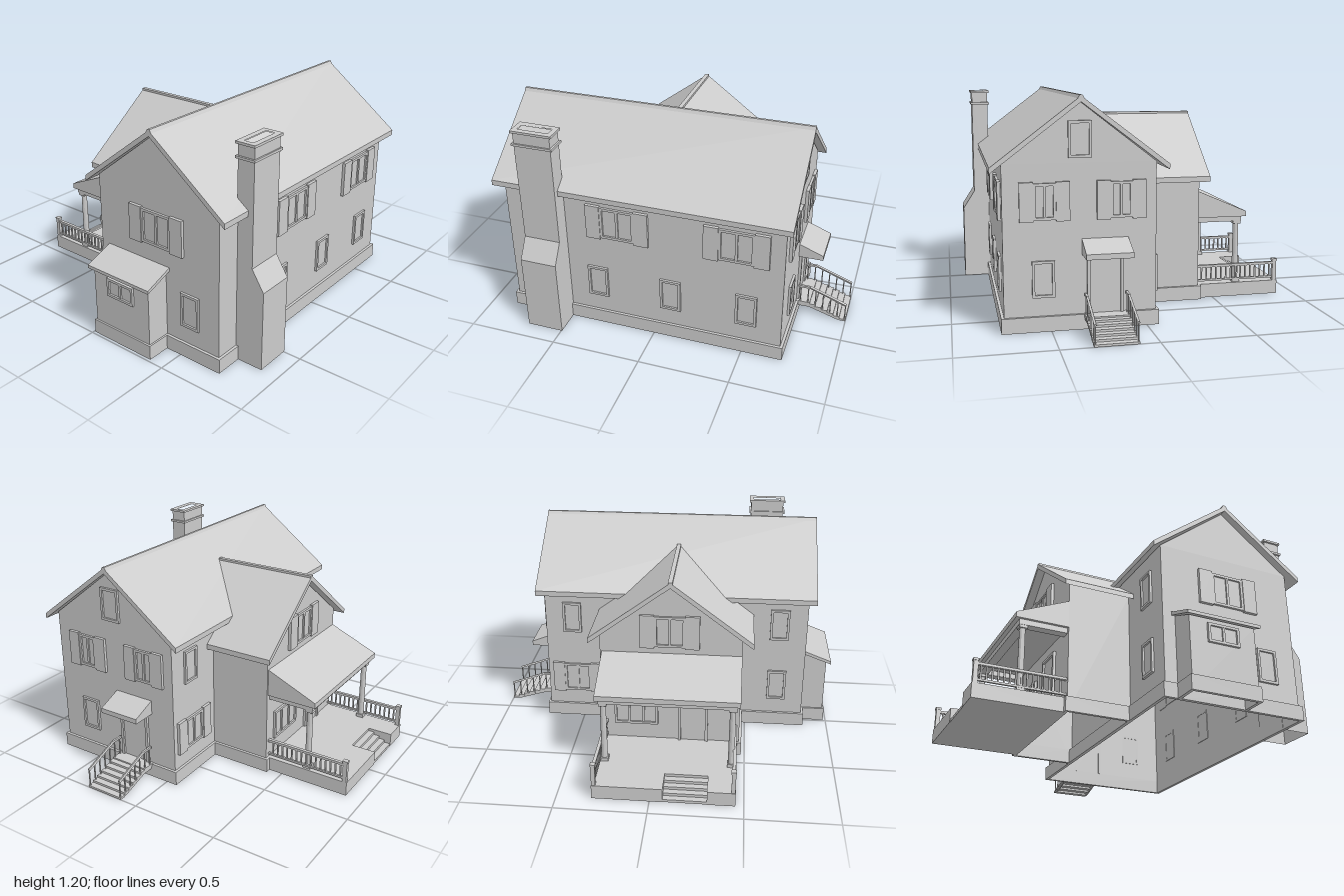
import * as THREE from 'three';

const mat = new THREE.MeshStandardMaterial({ color: 0xcccccc, flatShading: true });
const shellMat = new THREE.MeshStandardMaterial({ color: 0xcccccc, flatShading: true, side: THREE.DoubleSide });

const poly = (pts) => new THREE.Shape(pts.map(([x, y]) => new THREE.Vector2(x, y)));
const rect = (x0, x1, y0, y1) => [[x0, y0], [x1, y0], [x1, y1], [x0, y1]];

function add(parent, name, geo, material = mat) {
  const m = new THREE.Mesh(geo, material);
  m.name = name;
  parent.add(m);
  return m;
}
// box given by its limits
function box(parent, name, x0, x1, y0, y1, z0, z1) {
  const m = add(parent, name, new THREE.BoxGeometry(x1 - x0, y1 - y0, z1 - z0));
  m.position.set((x0 + x1) / 2, (y0 + y1) / 2, (z0 + z1) / 2);
  return m;
}
// square bar between two points
function bar(parent, name, a, b, t) {
  const A = new THREE.Vector3(...a), B = new THREE.Vector3(...b);
  const m = add(parent, name, new THREE.BoxGeometry(t, t, A.distanceTo(B)));
  m.position.copy(A).add(B).multiplyScalar(0.5);
  m.quaternion.setFromUnitVectors(new THREE.Vector3(0, 0, 1), B.sub(A).normalize());
  return m;
}
// profile in (x, y) running from z0 to z1
function prismZ(pts, z0, z1, holes = []) {
  const s = poly(pts);
  holes.forEach((h) => s.holes.push(poly(h)));
  return new THREE.ExtrudeGeometry(s, { depth: z1 - z0, bevelEnabled: false }).translate(0, 0, z0);
}
// profile in (z, y) running from x0 to x1
const prismX = (pts, x0, x1) => prismZ(pts.map(([z, y]) => [-z, y]), x0, x1).rotateY(Math.PI / 2);
// plan in (x, z) running from y0 to y1
const prismY = (pts, y0, y1, holes = []) =>
  prismZ(pts.map(([x, z]) => [x, -z]), y0, y1, holes.map((h) => h.map(([x, z]) => [x, -z]))).rotateX(-Math.PI / 2);

// removes the downward faces, leaving a hollow shell
function openBottom(geo) {
  const p = geo.attributes.position, keep = [];
  const [a, b, c] = [0, 1, 2].map(() => new THREE.Vector3());
  for (let i = 0; i < p.count; i += 3) {
    a.fromBufferAttribute(p, i); b.fromBufferAttribute(p, i + 1); c.fromBufferAttribute(p, i + 2);
    if (Math.max(a.y, b.y, c.y) > 0.001) keep.push(...a, ...b, ...c);
  }
  const g = new THREE.BufferGeometry();
  g.setAttribute('position', new THREE.Float32BufferAttribute(keep, 3));
  g.computeVertexNormals();
  return g;
}
const gable = (c, half, eave, peak) => [[c - half, 0], [c + half, 0], [c + half, eave], [c, peak], [c - half, eave]];
const chevron = (c, half, eave, peak, t) =>
  [[c - half, eave], [c - half, eave - t], [c, peak - t], [c + half, eave - t], [c + half, eave], [c, peak]];

// hollow plinth around a rectangular plan
function plinth(parent, name, x0, x1, z0, z1) {
  const t = 0.018;
  add(parent, name, prismY(rect(x0, x1, z0, z1), 0, 0.08, [rect(x0 + t, x1 - t, z0 + t, z1 - t)]), shellMat);
}

// framed window facing +z, centred on its own origin, with optional shutters
function makeWindow(w, h, { shutter = 0, panes = 1 } = {}) {
  const g = new THREE.Group();
  g.name = shutter ? 'shutteredWindow' : 'window';
  const hw = w / 2 - shutter, hh = h / 2 - (shutter ? 0.007 : 0), t = 0.014;
  add(g, 'windowFrame', prismZ(rect(-hw, hw, -hh, hh), -0.004, 0.013, [rect(-hw + t, hw - t, -hh + t, hh - t)]));
  box(g, 'glass', -hw + t, hw - t, -hh + t, hh - t, -0.002, 0.003);
  for (let i = 1; i < panes; i++) {
    const x = -hw + (2 * hw * i) / panes;
    box(g, 'mullion', x - t / 2, x + t / 2, -hh + t, hh - t, 0, 0.011);
  }
  if (shutter) for (const s of [-1, 1]) {
    const c = s * (w / 2 - shutter / 2);
    box(g, 'shutter', c - shutter / 2, c + shutter / 2, -h / 2, h / 2, -0.004, 0.017);
  }
  return g;
}

// door with surround, facing +z, standing on its own origin
function makeDoor(w, h) {
  const g = new THREE.Group(), t = 0.016;
  g.name = 'door';
  add(g, 'doorFrame', prismZ([[-w / 2, 0], [-w / 2 + t, 0], [-w / 2 + t, h - t], [w / 2 - t, h - t],
    [w / 2 - t, 0], [w / 2, 0], [w / 2, h], [-w / 2, h]], -0.004, 0.015));
  box(g, 'doorLeaf', -w / 2 + t, w / 2 - t, 0, h - t, -0.002, 0.004);
  return g;
}

export function createModel() {
  const house = new THREE.Group();
  house.name = 'house';
  const put = (o, x, y, z, turn = 0) => { o.position.set(x, y, z); o.rotation.y = turn; house.add(o); };
  const R = Math.PI / 2;

  // main block
  add(house, 'mainWalls', openBottom(prismX(gable(0.345, 0.395, 0.86, 1.165), -0.84, 0.71)), shellMat);
  plinth(house, 'mainFoundation', -0.855, 0.725, -0.065, 0.755);
  add(house, 'mainRoof', prismX(chevron(0.345, 0.455, 0.85, 1.195, 0.03), -0.88, 0.75));
  add(house, 'mainRidgeCap', prismX([[0.328, 1.183], [0.362, 1.183], [0.352, 1.2], [0.338, 1.2]], -0.88, 0.75));

  // rear wing; its roof runs into the main roof along a valley
  add(house, 'wingWalls', openBottom(prismZ(gable(-0.07, 0.395, 0.735, 1.03), -0.405, -0.05)), shellMat);
  plinth(house, 'wingFoundation', -0.48, 0.34, -0.42, -0.05);
  const wingRoof = prismZ(chevron(-0.07, 0.455, 0.725, 1.065, 0.03), -0.45, 0.165);
  const p = wingRoof.attributes.position;
  for (let i = 0; i < p.count; i++) if (p.getZ(i) > 0 && p.getY(i) < 0.9) p.setZ(i, -0.05);
  add(house, 'wingRoof', wingRoof);
  box(house, 'wingRidgeCap', -0.082, -0.058, 1.045, 1.068, -0.45, 0.165);

  // side bay
  add(house, 'bayWalls', openBottom(prismZ([[-0.975, 0], [-0.84, 0], [-0.84, 0.455], [-0.975, 0.4]], 0.02, 0.4)), shellMat);
  plinth(house, 'bayFoundation', -0.985, -0.84, 0.01, 0.41);
  add(house, 'bayRoof', prismZ([[-1, 0.395], [-0.84, 0.455], [-0.84, 0.475], [-1, 0.413]], 0, 0.423));

  // chimney
  add(house, 'chimneyBase', openBottom(prismX([[0.735, 0], [0.9, 0], [0.9, 0.44], [0.83, 0.55], [0.735, 0.55]], -0.7, -0.495)), shellMat);
  const flue = [rect(-0.683, -0.512, 0.757, 0.808)];
  add(house, 'chimneyStack', prismY(rect(-0.7, -0.495, 0.735, 0.83), 0.55, 1.18, flue));
  for (const y of [1.1, 1.172]) add(house, 'chimneyBand', prismY(rect(-0.711, -0.484, 0.726, 0.838), y, y + 0.013, flue));

  // windows: [width, height, x, y, z, turn, options]
  const wide = { shutter: 0.08, panes: 2 }, narrow = { shutter: 0.07, panes: 2 };
  const windows = [
    ...[-0.322, 0.097, 0.517].map((x) => [0.116, 0.188, x, 0.277, 0.74, 0]),
    ...[-0.195, 0.457].map((x) => [0.35, 0.2, x, 0.666, 0.74, 0, wide]),
    ...[0.528, 0.135].map((z) => [0.255, 0.2, 0.71, 0.67, z, R, narrow]),
    [0.116, 0.19, 0.71, 0.273, 0.538, R],
    [0.12, 0.185, 0.71, 0.98, 0.347, R],
    [0.35, 0.2, -0.84, 0.666, 0.345, -R, wide],
    [0.116, 0.19, -0.84, 0.273, 0.56, -R],
    [0.18, 0.105, -0.975, 0.322, 0.21, -R, { panes: 2 }],
    [0.11, 0.19, -0.68, 0.666, -0.05, 2 * R],
    [0.11, 0.19, -0.68, 0.27, -0.05, 2 * R],
    [0.11, 0.19, 0.55, 0.666, -0.05, 2 * R],
    [0.3, 0.195, 0.53, 0.265, -0.05, 2 * R, narrow],
    [0.33, 0.195, -0.065, 0.763, -0.405, 2 * R, wide],
    [0.25, 0.17, 0.125, 0.26, -0.405, 2 * R, { panes: 3 }],
  ];
  for (const [w, h, x, y, z, turn, opt] of windows) put(makeWindow(w, h, opt), x, y, z, turn);

  // doors
  put(makeDoor(0.19, 0.31), 0.71, 0.08, 0.22, R);
  put(makeDoor(0.17, 0.33), -0.2, 0.08, -0.405, 2 * R);

  // porch deck with steps cut into its edge
  add(house, 'porchDeck', prismY([[-0.455, -0.41], [-0.455, -0.9], [-0.305, -0.9], [-0.305, -0.757],
    [-0.07, -0.757], [-0.07, -0.9], [0.31, -0.9], [0.31, -0.41]], 0.0, 0.08));
  for (let i = 0; i < 4; i++)
    box(house, 'porchStep', -0.305, -0.07, 0, 0.064 - 0.016 * i, -0.793 - 0.035 * i, -0.757 - 0.035 * i);

  // porch roof, beams and columns
  add(house, 'porchRoof', prismX([[-0.4, 0.632], [-0.695, 0.505], [-0.695, 0.475], [-0.4, 0.475]], -0.465, 0.315));
  box(house, 'porchBeam', -0.45, 0.3, 0.445, 0.477, -0.672, -0.622);
  for (const [x0, x1] of [[-0.45, -0.4], [0.25, 0.3]]) {
    box(house, 'porchSideBeam', x0, x1, 0.445, 0.477, -0.63, -0.4);
    const x = (x0 + x1) / 2;
    add(house, 'porchColumn', new THREE.CylinderGeometry(0.016, 0.018, 0.37, 12)).position.set(x, 0.262, -0.647);
    box(house, 'columnBase', x - 0.022, x + 0.022, 0.08, 0.1, -0.669, -0.625);
    box(house, 'columnCapital', x - 0.022, x + 0.022, 0.43, 0.447, -0.669, -0.625);
  }

  // porch railings
  for (const x of [-0.443, 0.298]) {
    box(house, 'porchTopRail', x - 0.009, x + 0.009, 0.178, 0.192, -0.885, -0.405);
    box(house, 'porchBottomRail', x - 0.006, x + 0.006, 0.095, 0.106, -0.885, -0.405);
    for (let i = 0; i < 15; i++) bar(house, 'baluster', [x, 0.1, -0.435 - 0.03 * i], [x, 0.18, -0.435 - 0.03 * i], 0.008);
    box(house, 'newelPost', x - 0.011, x + 0.011, 0.08, 0.2, -0.896, -0.872);
    box(house, 'newelCap', x - 0.014, x + 0.014, 0.198, 0.21, -0.899, -0.869);
  }

  // side entrance: hood, landing, stairs
  add(house, 'doorHood', prismZ([[0.705, 0.392], [0.845, 0.392], [0.845, 0.42], [0.705, 0.475]], 0.098, 0.34));
  box(house, 'landing', 0.71, 0.79, 0.065, 0.082, 0.103, 0.332);
  const treads = 6, run = 0.037;
  for (let i = 0; i < treads; i++) {
    const x = 0.785 + i * (0.215 - run) / (treads - 1), y = 0.074 - i * 0.0125;
    box(house, 'stairTread', x, x + run, y - 0.012, y, 0.103, 0.332);
  }
  // stair stringers and handrails
  for (const z of [0.11, 0.325]) {
    add(house, 'stringer', prismZ([[0.72, 0.05], [0.79, 0.05], [0.95, 0], [1, 0], [0.785, 0.068], [0.72, 0.068]], z - 0.004, z + 0.004));
    bar(house, 'landingRail', [0.72, 0.185, z], [0.79, 0.185, z], 0.012);
    bar(house, 'stairRail', [0.788, 0.185, z], [0.996, 0.108, z], 0.012);
    for (let i = 0; i < 7; i++) {
      const x = 0.735 + i * 0.043, k = Math.max(0, x - 0.788);
      bar(house, 'stairBaluster', [x, 0.072 - k * 0.31, z], [x, 0.185 - k * 0.37, z], 0.006);
    }
  }
  return house;
}
